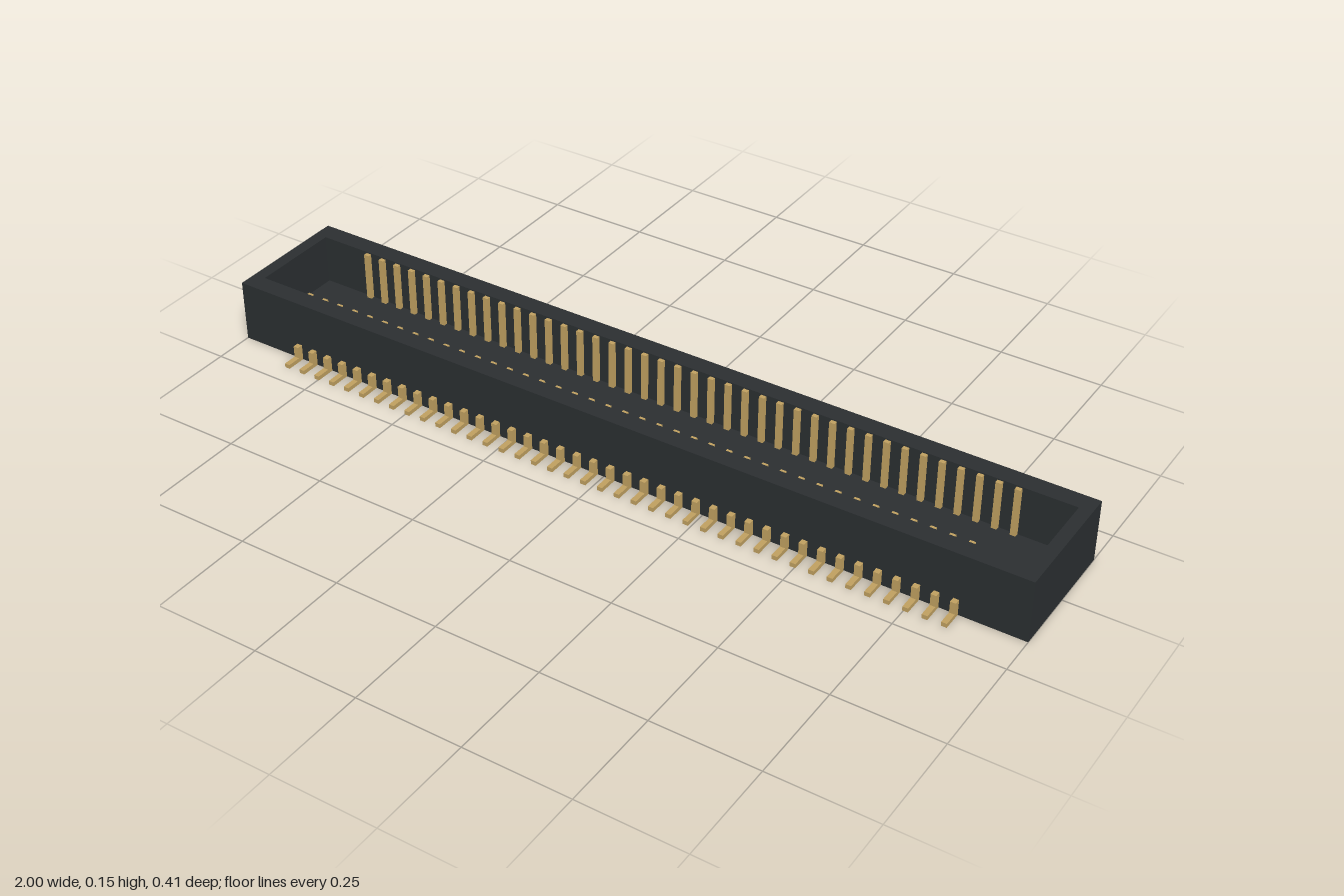
import * as THREE from 'three';

const PINS = 40, ROW = 1.68, PIN_W = 0.013;
const LENGTH = 2, DEPTH = 0.31, HEIGHT = 0.15;
const SLOT_L = 1.94, SLOT_D = 0.22, FLOOR = 0.03;

function rect(PathType, w, h) {
  return new PathType([[-1, -1], [1, -1], [1, 1], [-1, 1]]
    .map(([x, y]) => new THREE.Vector2(x * w / 2, y * h / 2)));
}

export function createModel() {
  const model = new THREE.Group();
  const plastic = new THREE.MeshStandardMaterial({ color: 0x2b2f31 });
  const gold = new THREE.MeshStandardMaterial({ color: 0xc0a060 });

  const add = (parent, name, geometry, material) => {
    const mesh = new THREE.Mesh(geometry, material);
    mesh.name = name;
    parent.add(mesh);
    return mesh;
  };

  // Housing: rectangular wall ring with a recessed floor
  const housing = new THREE.Group();
  housing.name = 'housing';
  model.add(housing);
  const ring = rect(THREE.Shape, LENGTH, DEPTH);
  ring.holes.push(rect(THREE.Path, SLOT_L, SLOT_D));
  const wallGeo = new THREE.ExtrudeGeometry(ring, { depth: HEIGHT, bevelEnabled: false });
  wallGeo.rotateX(-Math.PI / 2);
  add(housing, 'walls', wallGeo, plastic);
  const floorGeo = new THREE.BoxGeometry(SLOT_L, FLOOR, SLOT_D);
  add(housing, 'slotFloor', floorGeo, plastic).position.y = FLOOR / 2;

  // Solder lead: L-shaped profile (distance from centre, height), extruded to the pin width
  const leadShape = new THREE.Shape([
    [0.15, 0], [0.203, 0], [0.203, 0.01], [0.169, 0.01], [0.169, 0.038], [0.15, 0.038],
  ].map(([z, y]) => new THREE.Vector2(z, y)));
  const leadGeo = new THREE.ExtrudeGeometry(leadShape, { depth: PIN_W, bevelEnabled: false });
  leadGeo.translate(0, 0, -PIN_W / 2).rotateY(-Math.PI / 2);

  // Contact strip standing against the inner wall
  const contactTop = 0.147;
  const contactGeo = new THREE.BoxGeometry(PIN_W, contactTop - FLOOR, 0.014);
  contactGeo.translate(0, (contactTop + FLOOR) / 2, SLOT_D / 2 - 0.003);

  // Two mirrored rows of pins
  for (const [name, turn] of [['frontPins', 0], ['backPins', Math.PI]]) {
    const row = new THREE.Group();
    row.name = name;
    row.rotation.y = turn;
    model.add(row);
    for (let i = 0; i < PINS; i++) {
      const x = -ROW / 2 + ROW * i / (PINS - 1);
      add(row, 'lead', leadGeo, gold).position.x = x;
      add(row, 'contact', contactGeo, gold).position.x = x;
    }
  }
  return model;
}
